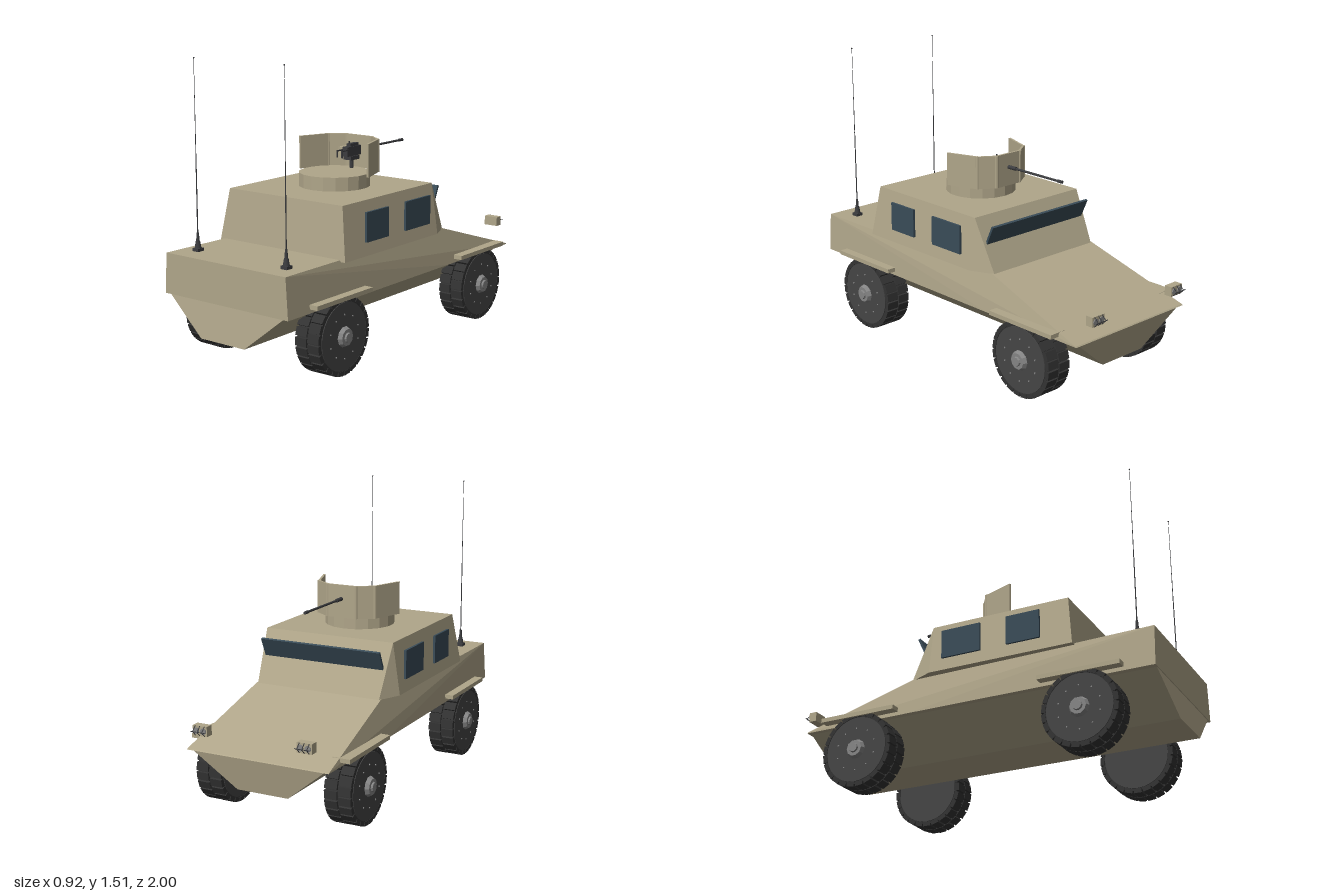
import * as THREE from 'three';
import { ConvexGeometry } from 'three/addons/geometries/ConvexGeometry.js';

const mat = (color, extra = {}) => {
  const m = new THREE.MeshStandardMaterial(extra);
  m.color.set(color);
  return m;
};
const tan = mat(0xb0a68a, { flatShading: true });
const rubber = mat(0x333333, { flatShading: true });
const dark = mat(0x454545);
const steel = mat(0x858585, { flatShading: true });
const glass = mat(0x3a4c58);
const gunmetal = mat(0x3c3d40);

function add(parent, name, geometry, material, x = 0, y = 0, z = 0) {
  const mesh = new THREE.Mesh(geometry, material);
  mesh.name = name;
  mesh.position.set(x, y, z);
  parent.add(mesh);
  return mesh;
}
const box = (w, h, d) => new THREE.BoxGeometry(w, h, d);
const rod = (r1, r2, h, n = 12) => new THREE.CylinderGeometry(r1, r2, h, n);

// Convex solid from corners on the +x side, mirrored to -x
function mirroredSolid(corners) {
  const pts = [];
  for (const [x, y, z] of corners) {
    pts.push(new THREE.Vector3(x, y, z), new THREE.Vector3(-x, y, z));
  }
  return new ConvexGeometry(pts);
}

// Wheel with its axle along x and the hub on +x
function makeWheel() {
  const wheel = new THREE.Group();
  wheel.name = 'wheel';
  add(wheel, 'tyre', rod(0.184, 0.184, 0.136, 32), rubber).rotation.z = Math.PI / 2;
  // Two staggered rows of tread lugs
  const count = 24;
  for (const side of [-1, 1]) {
    for (let i = 0; i < count; i++) {
      const a = ((i + (side > 0 ? 0.5 : 0)) / count) * Math.PI * 2;
      const lug = add(wheel, 'treadLug', box(0.068, 0.022, 0.042), rubber,
        side * 0.037, Math.cos(a) * 0.184, Math.sin(a) * 0.184);
      lug.rotation.x = a;
    }
  }
  // Side discs, hub and bolts
  for (const side of [-1, 1]) {
    add(wheel, 'sidewall', rod(0.17, 0.17, 0.006, 32), dark, side * 0.069).rotation.z = Math.PI / 2;
  }
  add(wheel, 'hub', rod(0.042, 0.052, 0.02, 10), steel, 0.082).rotation.z = -Math.PI / 2;
  add(wheel, 'hubCap', rod(0.022, 0.026, 0.012, 10), steel, 0.095).rotation.z = -Math.PI / 2;
  for (let i = 0; i < 10; i++) {
    const a = (i / 10) * Math.PI * 2;
    add(wheel, 'bolt', rod(0.004, 0.004, 0.006, 6), steel,
      0.073, Math.cos(a) * 0.11, Math.sin(a) * 0.11).rotation.z = Math.PI / 2;
  }
  return wheel;
}

// Whip antenna on a stepped foot
function makeAntenna() {
  const antenna = new THREE.Group();
  antenna.name = 'antenna';
  add(antenna, 'antennaFoot', box(0.04, 0.015, 0.04), gunmetal, 0, 0.0075);
  add(antenna, 'antennaBase', rod(0.011, 0.017, 0.035), gunmetal, 0, 0.032);
  add(antenna, 'antennaSpring', rod(0.006, 0.009, 0.045), gunmetal, 0, 0.07);
  add(antenna, 'lowerRod', rod(0.0025, 0.003, 0.4, 8), gunmetal, 0, 0.28);
  add(antenna, 'upperRod', rod(0.001, 0.002, 0.47, 6), gunmetal, 0, 0.71);
  add(antenna, 'antennaTip', new THREE.SphereGeometry(0.004, 8, 6), gunmetal, 0, 0.947);
  return antenna;
}

// Headlight facing -z with a wire guard
function makeHeadlight() {
  const light = new THREE.Group();
  light.name = 'headlight';
  add(light, 'lampBody', box(0.08, 0.05, 0.042), tan, 0, 0, 0.018);
  for (const x of [-0.02, 0.02]) {
    add(light, 'lens', rod(0.016, 0.016, 0.006), steel, x, 0, -0.005).rotation.x = Math.PI / 2;
  }
  for (const x of [-0.026, 0, 0.026]) {
    for (const s of [-1, 1]) {
      const bar = add(light, 'guardBar', rod(0.002, 0.002, 0.034, 6), gunmetal, x, s * 0.0125, -0.014);
      bar.rotation.x = s * 0.8;
    }
  }
  add(light, 'guardRail', rod(0.002, 0.002, 0.08, 6), gunmetal, 0, 0, -0.026).rotation.z = Math.PI / 2;
  return light;
}

// Machine gun pointing to -z
function makeGun() {
  const gun = new THREE.Group();
  gun.name = 'gun';
  add(gun, 'pintle', rod(0.008, 0.012, 0.09), gunmetal, 0, -0.055, 0);
  add(gun, 'cradle', box(0.05, 0.02, 0.07), gunmetal, 0, -0.035, 0);
  add(gun, 'receiver', box(0.034, 0.05, 0.12), gunmetal, 0, 0, -0.005);
  add(gun, 'feedCover', box(0.026, 0.016, 0.07), gunmetal, 0, 0.032, -0.01);
  add(gun, 'rearSight', box(0.006, 0.02, 0.006), gunmetal, 0, 0.044, 0.02);
  add(gun, 'ammoBox', box(0.045, 0.06, 0.06), tan, -0.045, -0.012, -0.005);
  add(gun, 'barrel', rod(0.006, 0.006, 0.38), gunmetal, 0, 0.003, -0.25).rotation.x = Math.PI / 2;
  add(gun, 'barrelJacket', rod(0.01, 0.01, 0.07), gunmetal, 0, 0.003, -0.09).rotation.x = Math.PI / 2;
  add(gun, 'muzzle', rod(0.008, 0.008, 0.03), gunmetal, 0, 0.003, -0.44).rotation.x = Math.PI / 2;
  for (const s of [-1, 1]) {
    add(gun, 'gripArm', box(0.006, 0.006, 0.05), gunmetal, s * 0.016, 0.01, 0.075);
    add(gun, 'grip', rod(0.005, 0.005, 0.04, 8), gunmetal, s * 0.016, -0.005, 0.1);
  }
  return gun;
}

export function createModel() {
  const model = new THREE.Group();
  model.name = 'armouredCar';

  // Hull: box with sloping bonnet over a V-shaped belly
  add(model, 'upperHull', mirroredSolid([
    [0.395, 0.355, 0.98], [0.382, 0.56, 0.98],
    [0.395, 0.355, -0.33], [0.358, 0.55, -0.33],
    [0.39, 0.355, -0.935], [0.39, 0.36, -0.93],
  ]), tan);
  add(model, 'lowerHull', mirroredSolid([
    [0.365, 0.356, 0.975], [0.14, 0.175, 1.0],
    [0.365, 0.356, -0.925], [0.14, 0.175, -0.88],
  ]), tan);

  // Cabin with chamfered front corners
  add(model, 'cabin', mirroredSolid([
    [0.405, 0.548, 0.572], [0.405, 0.548, -0.21], [0.35, 0.548, -0.335],
    [0.365, 0.815, 0.54], [0.365, 0.815, -0.21],
  ]), tan);
  add(model, 'windscreen', box(0.68, 0.105, 0.012), glass, 0, 0.735, -0.288).rotation.x = -0.43;

  for (const side of [-1, 1]) {
    add(model, 'rearSideWindow', box(0.012, 0.15, 0.18), glass, side * 0.4, 0.69, 0.31);
    add(model, 'frontSideWindow', box(0.012, 0.15, 0.215), glass, side * 0.4, 0.69, -0.033);

    for (const z of [0.612, -0.603]) {
      const wheel = makeWheel();
      wheel.position.set(side * 0.36, 0.198, z);
      wheel.rotation.y = side > 0 ? 0 : Math.PI;
      model.add(wheel);
      add(model, 'mudguard', box(0.095, 0.022, 0.425), tan, side * 0.3925, 0.386, z > 0 ? 0.61 : -0.605);
    }

    const antenna = makeAntenna();
    antenna.position.set(side * 0.285, 0.56, 0.86);
    model.add(antenna);

    const headlight = makeHeadlight();
    headlight.position.set(side * 0.285, 0.475, -0.972);
    model.add(headlight);
  }

  // Turret ring and gun
  add(model, 'turretRing', rod(0.185, 0.185, 0.075, 18), tan, 0, 0.848, 0.143);
  const gun = makeGun();
  gun.position.set(0, 0.975, 0);
  model.add(gun);

  // Folded gun shield, with strips covering the joints
  const shield = new THREE.Group();
  shield.name = 'gunShield';
  const half = [[0.222, 0.155], [0.163, -0.01], [0.082, -0.065]];
  const path = [...half, ...half.map(([x, z]) => [-x, z]).reverse()];
  path.forEach(([x, z], i) => {
    if (i > 0 && i < path.length - 1) {
      add(shield, 'jointStrip', rod(0.01, 0.01, 0.172, 8), tan, x, 0.965, z);
    }
    if (i === path.length - 1) return;
    const [x2, z2] = path[i + 1];
    const panel = add(shield, 'shieldPanel', box(Math.hypot(x2 - x, z2 - z), 0.172, 0.012), tan,
      (x + x2) / 2, 0.965, (z + z2) / 2);
    panel.rotation.y = -Math.atan2(z2 - z, x2 - x);
  });
  model.add(shield);

  return model;
}
